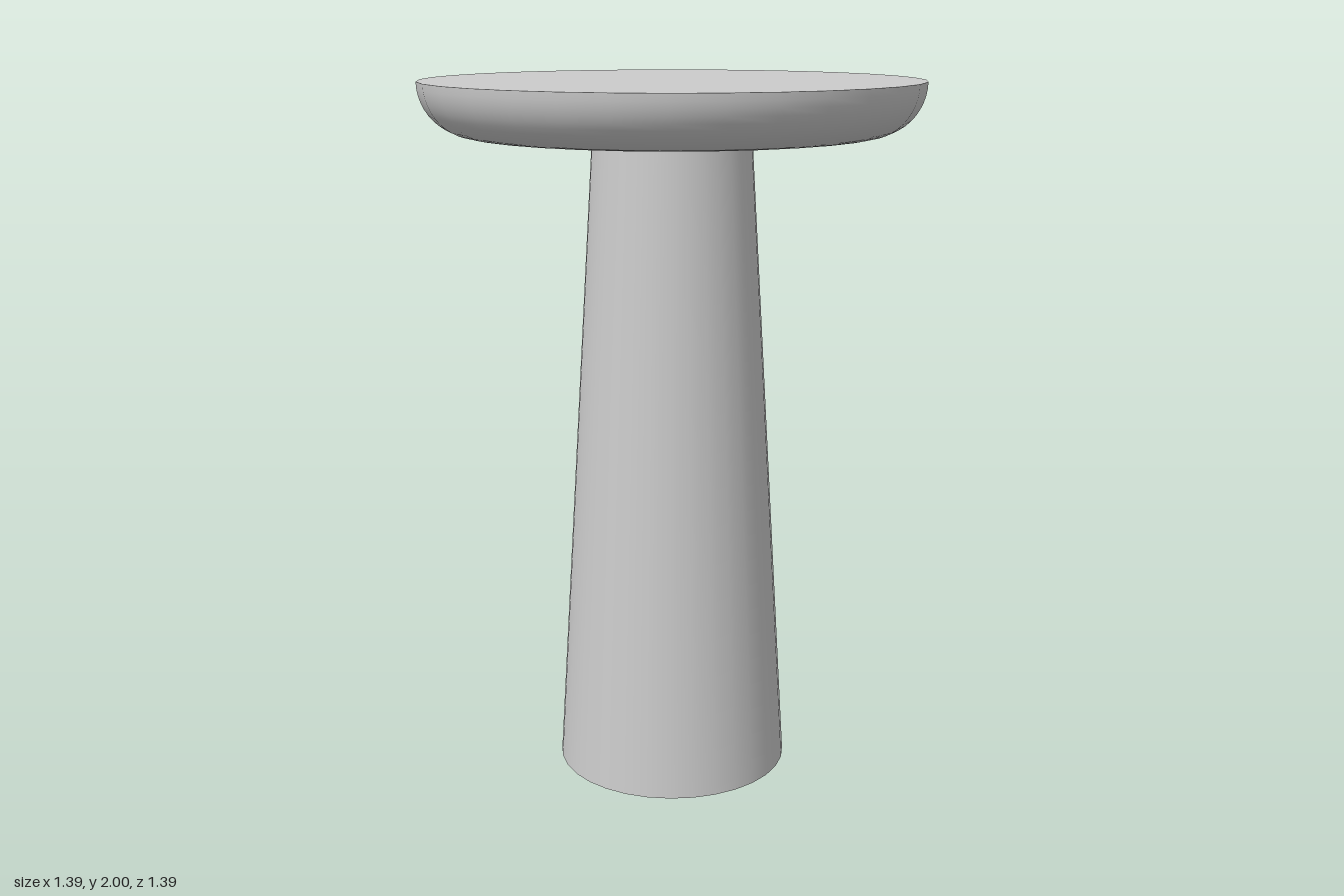
import * as THREE from 'three';

const SIDES = 32;
const TURN = 0.025; // slight rotation of the facets about y

export function createModel() {
  const group = new THREE.Group();
  const material = new THREE.MeshStandardMaterial({ color: 0xcccccc, side: THREE.DoubleSide });

  const add = (name, geometry) => {
    const mesh = new THREE.Mesh(geometry, material);
    mesh.name = name;
    group.add(mesh);
    return mesh;
  };

  // Table top underside: flat centre, then a rounded lip up to the rim
  const rim = 0.697, flat = 0.552, under = 1.853, top = 2;
  const profile = [new THREE.Vector2(0, under)];
  for (let i = 0; i <= 12; i++) {
    const a = (i / 12) * Math.PI / 2;
    profile.push(new THREE.Vector2(
      flat + (rim - flat) * Math.sin(a),
      top - (top - under) * Math.cos(a)
    ));
  }
  add('tableTopUnderside', new THREE.LatheGeometry(profile, SIDES, TURN));

  // Flat table surface, sharing the rim's corners
  const surface = new THREE.CircleGeometry(rim, SIDES);
  surface.rotateX(-Math.PI / 2);
  surface.rotateY(TURN);
  surface.translate(0, top, 0);
  add('tableSurface', surface);

  // Hollow tapered pedestal, open at the floor, stopping just short of the top
  const height = 1.843;
  const pedestal = new THREE.CylinderGeometry(0.223, 0.337, height, SIDES, 1, true, TURN);
  pedestal.translate(0, height / 2, 0);
  add('pedestal', pedestal);

  return group;
}
